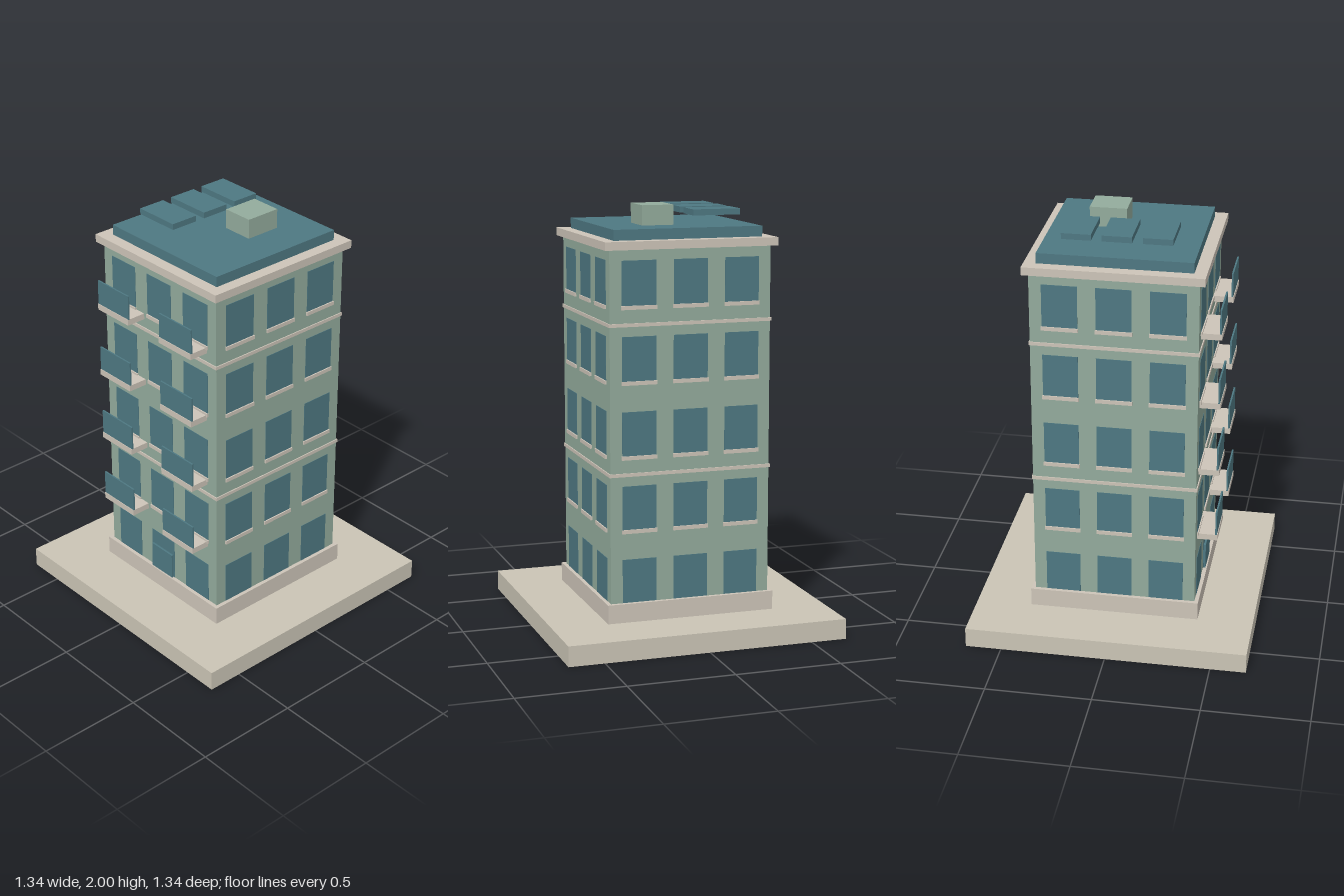
import * as THREE from 'three';

const mat = (name, color) => {
  const m = new THREE.MeshStandardMaterial({ color });
  m.name = name;
  return m;
};

export function createModel() {
  const stone = mat('ground stone', 0xcac4b5);
  const trim = mat('trim', 0xcdc4b8);
  const wall = mat('wall green', 0x93ab9c);
  const teal = mat('teal', 0x4e7882);
  const model = new THREE.Group();
  model.name = 'apartmentBlock';

  // Box given by its lower and upper limits on each axis
  const box = (parent, name, material, [x0, x1], [y0, y1], [z0, z1]) => {
    const mesh = new THREE.Mesh(new THREE.BoxGeometry(x1 - x0, y1 - y0, z1 - z0), material);
    mesh.position.set((x0 + x1) / 2, (y0 + y1) / 2, (z0 + z1) / 2);
    mesh.name = name;
    parent.add(mesh);
    return mesh;
  };
  // Square layer centred on the tower axis
  const layer = (name, material, half, y0, y1) =>
    box(model, name, material, [-half, half], [y0, y1], [-half, half]);

  // Stacked masses
  layer('groundSlab', stone, 0.67, 0, 0.096);
  layer('plinth', trim, 0.405, 0.096, 0.185);
  layer('walls', wall, 0.386, 0.185, 1.82);
  layer('lowerBand', trim, 0.391, 0.781, 0.797);
  layer('upperBand', trim, 0.391, 1.471, 1.487);
  layer('cornice', trim, 0.413, 1.82, 1.858);
  layer('roof', teal, 0.356, 1.858, 1.907);

  // Windows and sills, the same on all four sides
  const floorHeight = 0.345;
  for (let side = 0; side < 4; side++) {
    const facade = new THREE.Group();
    facade.name = 'facade';
    facade.rotation.y = side * Math.PI / 2;
    model.add(facade);
    for (let floor = 0; floor < 5; floor++) {
      const y = 0.186 + floor * floorHeight;
      for (const x of [-0.247, 0, 0.247]) {
        box(facade, 'window', teal, [x - 0.082, x + 0.082], [y, y + 0.205], [0.384, 0.388]);
        if (floor > 0) box(facade, 'sill', trim, [x - 0.085, x + 0.085], [y - 0.017, y + 0.001], [0.38, 0.394]);
      }
    }
  }

  // Front door
  box(model, 'door', teal, [-0.073, 0.073], [0.185, 0.314], [0.38, 0.398]);

  // Balconies with a glass front
  for (let floor = 1; floor < 5; floor++) {
    const y = 0.178 + floor * floorHeight;
    for (const x of [-0.216, 0.216]) {
      box(model, 'balconySlab', trim, [x - 0.108, x + 0.108], [y - 0.029, y], [0.38, 0.482]);
      box(model, 'balconyGlass', teal, [x - 0.108, x + 0.108], [y, y + 0.118], [0.471, 0.479]);
    }
  }

  // Rooftop panels and stair housing
  for (const z of [-0.187, -0.002, 0.183]) {
    box(model, 'roofPanel', teal, [-0.285, -0.056], [1.953, 1.981], [z - 0.068, z + 0.068]);
  }
  box(model, 'stairHousing', wall, [0.014, 0.166], [1.907, 2], [-0.18, -0.006]);

  return model;
}
